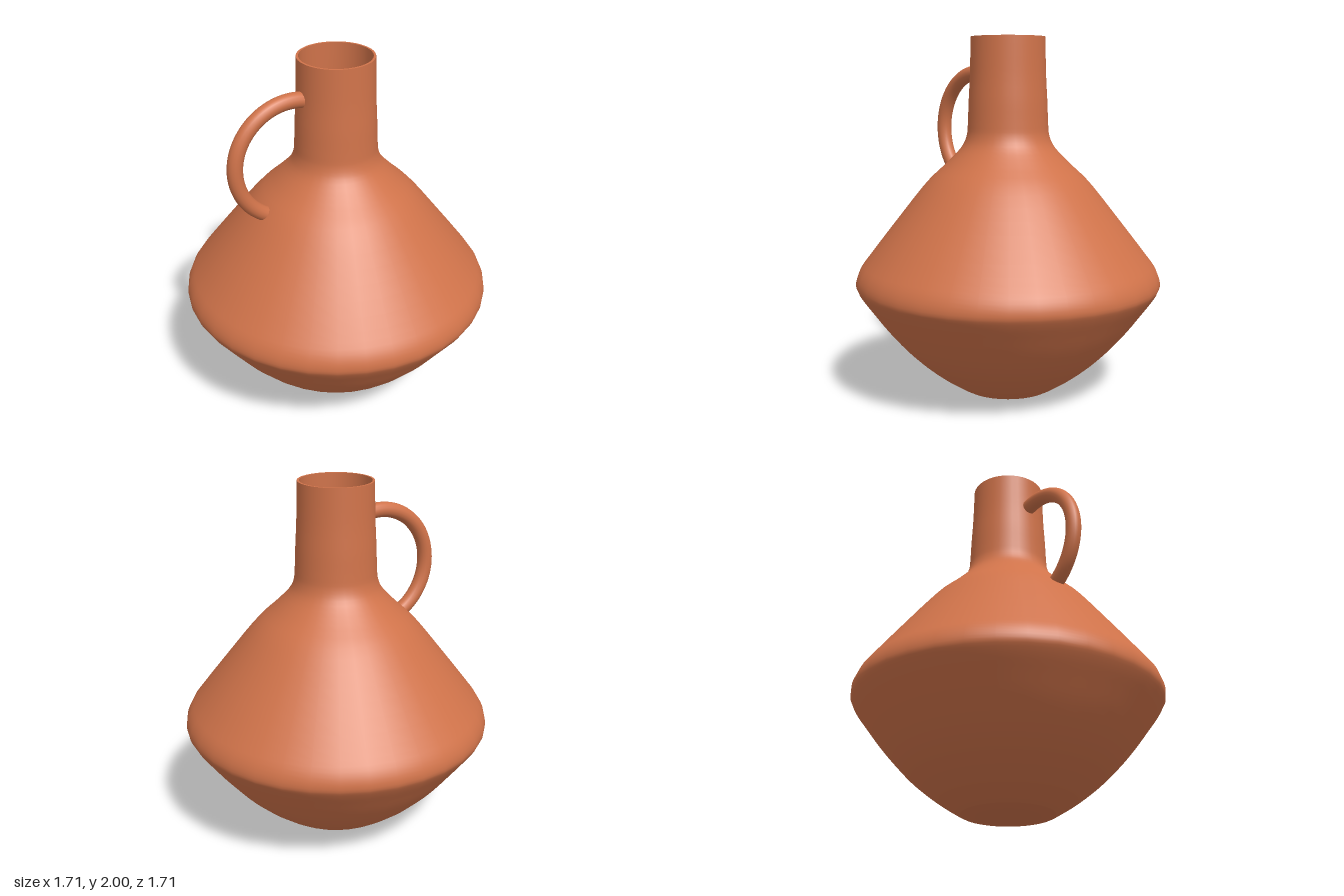
import * as THREE from 'three';

const SEGMENTS = 36;

// smooth lathe profile through [radius, height] points
function smoothProfile(points, divisions) {
  return new THREE.SplineCurve(points.map(([r, y]) => new THREE.Vector2(r, y)))
    .getPoints(divisions)
    .map((p) => new THREE.Vector2(Math.max(p.x, 0), p.y));
}

export function createModel() {
  const group = new THREE.Group();
  group.name = 'jug';
  const terracotta = new THREE.MeshStandardMaterial({ color: 0xd0734a });
  terracotta.name = 'terracotta';

  function add(name, geometry, parent = group) {
    const mesh = new THREE.Mesh(geometry, terracotta);
    mesh.name = name;
    parent.add(mesh);
    return mesh;
  }
  const lathe = (name, points) => add(name, new THREE.LatheGeometry(points, SEGMENTS));

  // slightly domed foot
  const foot = [[0, 0], [0.12, 0.003], [0.21, 0.01], [0.25, 0.018]];
  lathe('base', foot.map(([r, y]) => new THREE.Vector2(r, y)));

  // belly, shoulder and neck, seen from outside
  const outer = [
    [0.25, 0.018], [0.29, 0.04], [0.39, 0.105], [0.515, 0.205], [0.61, 0.3],
    [0.695, 0.4], [0.77, 0.5], [0.835, 0.59], [0.855, 0.64], [0.835, 0.71],
    [0.77, 0.8], [0.615, 1.0], [0.455, 1.2], [0.34, 1.31], [0.26, 1.395],
    [0.23, 1.46], [0.223, 1.53], [0.218, 1.65], [0.21, 1.8], [0.205, 2.0],
  ];
  lathe('body', smoothProfile(outer, 64));

  // thin lip and hollow inside
  lathe('rim', [new THREE.Vector2(0.205, 2), new THREE.Vector2(0.193, 2)]);
  const inner = [
    [0.193, 2], [0.198, 1.8], [0.21, 1.53], [0.218, 1.45], [0.25, 1.38],
    [0.44, 1.19], [0.6, 0.99], [0.75, 0.8], [0.835, 0.64], [0.75, 0.5],
    [0.595, 0.31], [0.38, 0.12], [0.24, 0.04], [0, 0.03],
  ];
  lathe('inside', smoothProfile(inner, 48));

  // round handle: a partial ring from the neck to the shoulder
  const handle = new THREE.Group();
  handle.name = 'handle';
  handle.position.set(-0.27, 1.48, 0);
  group.add(handle);
  const radius = 0.327, tube = 0.042;
  const start = THREE.MathUtils.degToRad(75), arc = THREE.MathUtils.degToRad(170);
  add('handleRing', new THREE.TorusGeometry(radius, tube, 16, 40, arc), handle).rotation.z = start;
  for (const [angle, side] of [[start, 1], [start + arc, -1]]) {
    const end = new THREE.CircleGeometry(tube, 16);
    end.rotateX(side * Math.PI / 2); // face along the ring, away from it
    end.translate(radius, 0, 0);
    end.rotateZ(angle);
    add('handleEnd', end, handle);
  }
  return group;
}
